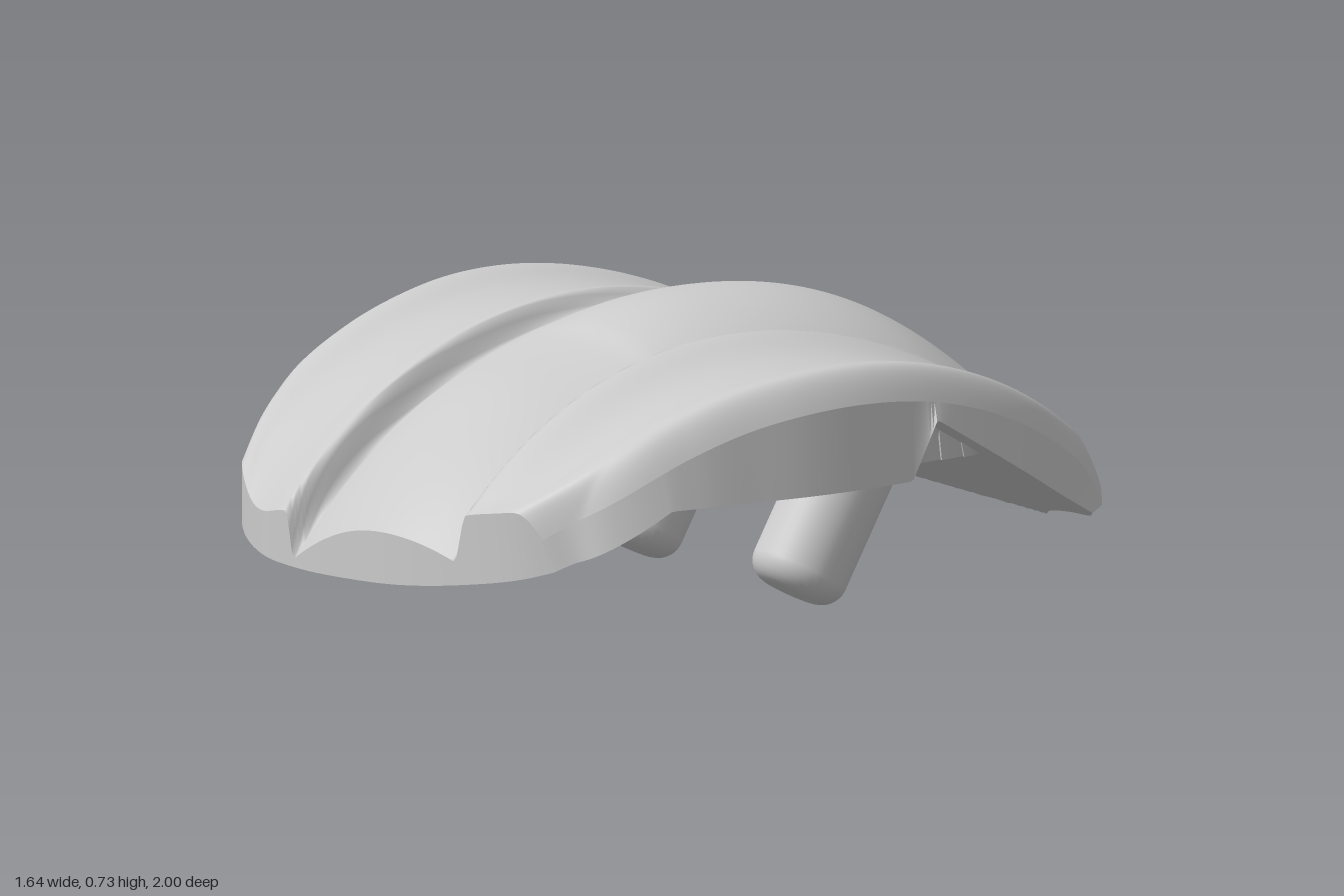
import * as THREE from 'three';
import { toCreasedNormals } from 'three/addons/utils/BufferGeometryUtils.js';

const NU = 140, NT = 140;

// Smooth curve through [position, value] pairs, held constant past its ends
function curve(pairs) {
  const f = new THREE.CubicInterpolant(pairs.map(p => p[0]), pairs.map(p => p[1]), 1);
  const lo = pairs[0][0], hi = pairs[pairs.length - 1][0];
  return v => f.evaluate(THREE.MathUtils.clamp(v, lo, hi))[0];
}

// Plan outline: front edge and back edge over x, half width from back (0) to front (1)
const frontEdge = curve([[-0.65, 0.83], [-0.6, 0.87], [-0.5, 0.94], [-0.35, 0.99], [-0.2, 1], [0, 0.99],
  [0.2, 0.965], [0.4, 0.915], [0.55, 0.86], [0.65, 0.8]]);
const backEdge = curve([[-0.68, -0.83], [-0.64, -0.88], [-0.57, -0.91], [-0.4, -0.9], [-0.2, -0.94], [0.05, -1],
  [0.2, -0.96], [0.35, -0.875], [0.5, -0.825], [0.62, -0.8], [0.7, -0.75]]);
const halfWidth = curve([[0, 0.68], [0.06, 0.7], [0.14, 0.74], [0.26, 0.78], [0.4, 0.81], [0.5, 0.82],
  [0.6, 0.815], [0.7, 0.795], [0.8, 0.775], [0.92, 0.735], [0.97, 0.685], [1, 0.62]]);

// Grooves beside the middle lobe, and heights above the long side arc
const grooveLeft = curve([[-0.5, 0.31], [0, 0.28], [0.2, 0.278], [0.6, 0.31], [1, 0.375]]);
const grooveRight = curve([[-0.3, -0.295], [0, -0.285], [0.5, -0.255], [1, -0.21]]);
const lobeMiddle = curve([[-1, 0.095], [-0.5, 0.12], [-0.1, 0.085], [0.23, 0.04], [0.3, 0.018], [0.6, 0.02], [1, 0.03]]);
const lobeEdge = curve([[-1, 0.02], [-0.5, 0.025], [-0.1, 0.005], [0.3, -0.025], [1, -0.07]]);
const ridge = curve([[-1, 0.02], [-0.5, 0.025], [0, 0.035], [1, 0.045]]);

// Pockets cut into the underside: [x, radius]
const pockets = [[0.34, 0.165], [-0.34, 0.165], [0.8, 0.15], [-0.8, 0.15]];
const PEG = { x: 0.34, y: 0.455, z: -0.32, r: 0.12, length: 0.48, tilt: -Math.PI / 6 };

function topHeight(x, z, sideGap, backGap) {
  const arc = 0.655 - 1.27 + Math.sqrt(1.27 * 1.27 - (z - 0.05) ** 2);
  const gl = grooveLeft(z), gr = grooveRight(z);
  const q = Math.min(1, Math.abs(x - (gl + gr) / 2) / ((gl - gr) / 2));
  const lobe = THREE.MathUtils.lerp(lobeMiddle(z), lobeEdge(z), q * q);
  const out = Math.max(x - gl, gr - x);
  const side = ridge(z) * Math.exp(-((Math.max(0, out - 0.025) / 0.11) ** 2));
  let y = arc + THREE.MathUtils.lerp(lobe, side, THREE.MathUtils.smoothstep(out, -0.005, 0.03));
  // raised shoulder, rolled side and rolled back edge
  y += 0.022 * Math.exp(-(((sideGap - 0.08) / 0.08) ** 2));
  y -= 0.07 * Math.max(0, 1 - sideGap / 0.07) ** 2;
  y -= 0.06 * Math.max(0, 1 - backGap / 0.08) ** 2;
  return y;
}

// Flat underside folded down at front and back, with slanted round pockets
function bottomHeight(x, z) {
  const backPlane = 0.39 + 0.58 * (z + 0.43);
  let y = Math.max(0.12, Math.min(0.39, 0.39 - 0.58 * (z - 0.57), backPlane));
  for (const [px, r] of pockets) {
    const dx = x - px;
    if (Math.abs(dx) >= r) continue;
    const wall = PEG.y + (Math.sqrt(r * r - dx * dx) - 0.866 * (z - PEG.z)) / 0.5;
    if (z < 0.1) y = Math.max(y, Math.min(backPlane, wall));
  }
  return y;
}

function gridPoint(i, j, isTop) {
  const k = 2 * i / NU - 1, t = j / NT;
  const u = 0.6 * k + 0.4 * Math.sin(k * Math.PI / 2);
  const w = halfWidth(t) - (isTop ? 0.025 : 0);
  const x = u * w;
  const zb = backEdge(x) + (isTop ? 0 : 0.03);
  const z = THREE.MathUtils.lerp(zb, frontEdge(x), t);
  const y = isTop ? topHeight(x, z, (1 - Math.abs(u)) * w, z - zb) : bottomHeight(x, z);
  return [x, y, z];
}

function geometry(positions, index) {
  const g = new THREE.BufferGeometry();
  g.setAttribute('position', new THREE.Float32BufferAttribute(positions, 3));
  g.setIndex(index);
  g.computeVertexNormals();
  return g;
}

function sheet(isTop) {
  const pos = [], idx = [], row = NU + 1;
  for (let j = 0; j <= NT; j++) for (let i = 0; i <= NU; i++) pos.push(...gridPoint(i, j, isTop));
  for (let j = 0; j < NT; j++) for (let i = 0; i < NU; i++) {
    const a = j * row + i, b = a + row, c = b + 1, d = a + 1;
    if (isTop) idx.push(a, b, c, a, c, d);
    else idx.push(a, c, b, a, d, c);
  }
  return geometry(pos, idx);
}

// Wall joining the borders of the two sheets
function rimWall() {
  const loop = [], pos = [], idx = [];
  for (let j = 0; j < NT; j++) loop.push([0, j]);
  for (let i = 0; i < NU; i++) loop.push([i, NT]);
  for (let j = NT; j > 0; j--) loop.push([NU, j]);
  for (let i = NU; i > 0; i--) loop.push([i, 0]);
  loop.forEach(([i, j], n) => {
    pos.push(...gridPoint(i, j, true), ...gridPoint(i, j, false));
    const a = 2 * n, b = 2 * ((n + 1) % loop.length);
    idx.push(a, a + 1, b + 1, a, b + 1, b);
  });
  return toCreasedNormals(geometry(pos, idx), 0.6);
}

// Straight peg with a flat, round-edged tip
function pegGeometry() {
  const pts = [new THREE.Vector2(0, 0)], f = 0.06;
  for (let n = 0; n <= 8; n++) {
    const a = n / 8 * Math.PI / 2;
    pts.push(new THREE.Vector2(PEG.r - f + f * Math.sin(a), f - f * Math.cos(a)));
  }
  pts.push(new THREE.Vector2(PEG.r, PEG.length + 0.02));
  return new THREE.LatheGeometry(pts, 40);
}

export function createModel() {
  const group = new THREE.Group();
  const material = new THREE.MeshStandardMaterial({ color: 0xcccccc });
  const add = (name, geo) => {
    const mesh = new THREE.Mesh(geo, material);
    mesh.name = name;
    group.add(mesh);
    return mesh;
  };
  add('topSurface', sheet(true));
  add('underside', toCreasedNormals(sheet(false), 0.4));
  add('rim', rimWall());

  const peg = pegGeometry();
  for (const side of [1, -1]) {
    const mesh = add(side > 0 ? 'leftPeg' : 'rightPeg', peg);
    mesh.rotation.x = PEG.tilt;
    mesh.position.set(side * PEG.x, PEG.y - 0.866 * PEG.length, PEG.z + 0.5 * PEG.length);
  }
  return group;
}
